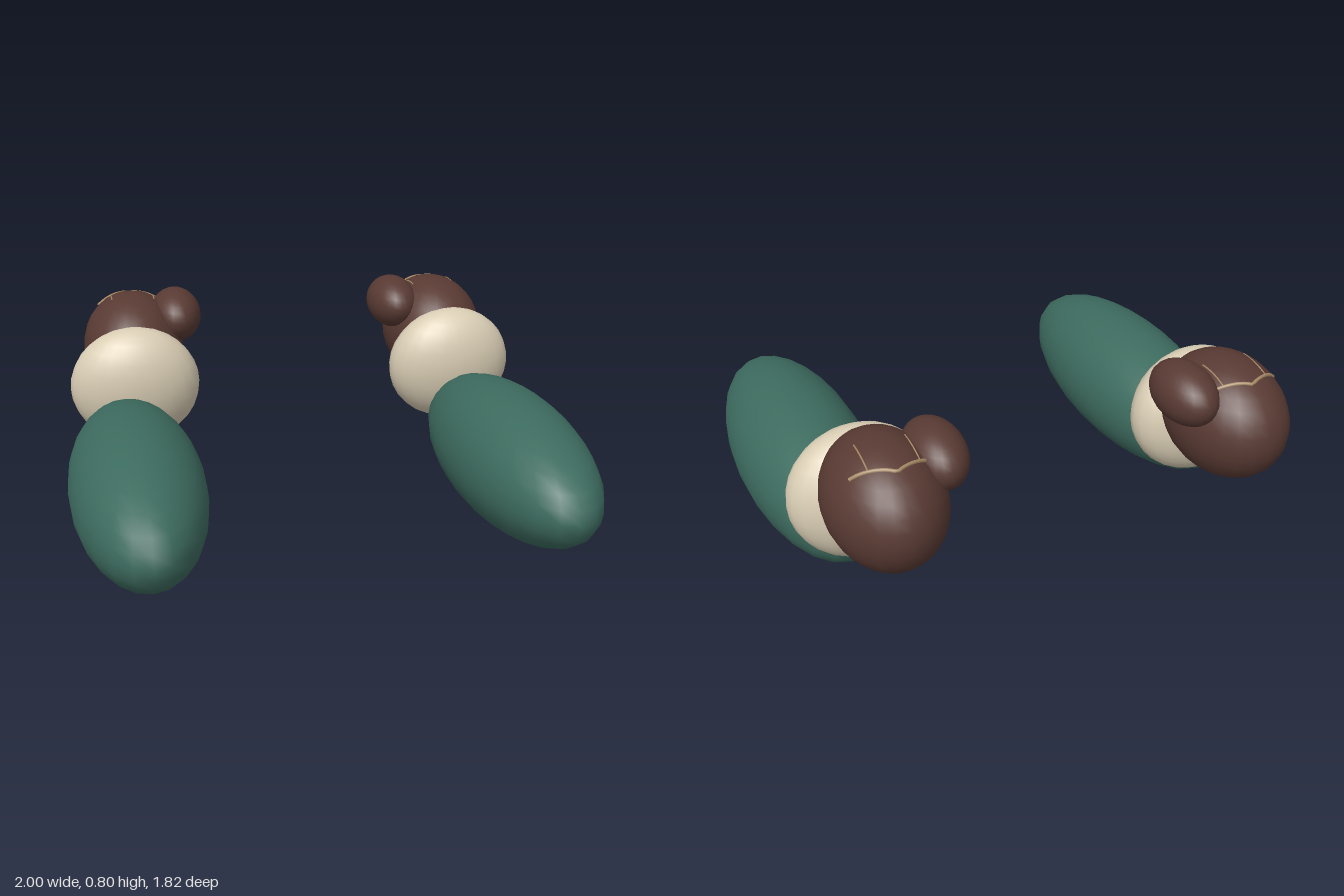
import * as THREE from 'three';

const material = (name, color) => {
  const m = new THREE.MeshStandardMaterial({ color });
  m.name = name;
  return m;
};

export function createModel() {
  const green = material('sleeve green', 0x3d6b5f);
  const cream = material('cuff cream', 0xd9cdb4);
  const brown = material('glove brown', 0x593a33);
  const tan = material('stitch tan', 0xa88b66);

  const ball = new THREE.SphereGeometry(1, 24, 16);
  const ellipsoid = (name, mat, pos, radii, tilt = 0) => {
    const mesh = new THREE.Mesh(ball, mat);
    mesh.name = name;
    mesh.position.set(...pos);
    mesh.scale.set(...radii);
    mesh.rotation.x = tilt;
    return mesh;
  };

  // Glove ellipsoid, also used to lay the stitching on its surface
  const gloveC = [0.673, 0.56, -0.62];
  const gloveR = [0.212, 0.233, 0.29];
  const onGlove = (x, z) => {
    const u = (x - gloveC[0]) / gloveR[0], w = (z - gloveC[2]) / gloveR[2];
    return gloveC[1] + gloveR[1] * Math.sqrt(1 - u * u - w * w);
  };

  // Stitch line through [x, z] points, resampled so it follows the curved surface
  const stitch = (side, points, radius) => {
    const path = [];
    for (let i = 0; i < points.length - 1; i++) {
      for (let k = 0; k < 4; k++) {
        const t = k / 4;
        path.push(points[i].map((v, j) => v + (points[i + 1][j] - v) * t));
      }
    }
    path.push(points[points.length - 1]);
    const curve = new THREE.CatmullRomCurve3(
      path.map(([x, z]) => new THREE.Vector3(side * x, onGlove(x, z) - 0.001, z)));
    const mesh = new THREE.Mesh(new THREE.TubeGeometry(curve, 24, radius, 6), tan);
    mesh.name = 'gloveStitch';
    return mesh;
  };

  const model = new THREE.Group();
  model.name = 'armPair';
  for (const side of [1, -1]) {
    const arm = new THREE.Group();
    arm.name = side > 0 ? 'leftArm' : 'rightArm';
    arm.add(
      ellipsoid('sleeve', green, [side * 0.743, 0.26, 0.22], [0.257, 0.257, 0.69]),
      ellipsoid('cuff', cream, [side * 0.688, 0.455, -0.4], [0.268, 0.253, 0.157], 0.12),
      ellipsoid('glove', brown, gloveC.map((v, i) => (i ? v : side * v)), gloveR),
      ellipsoid('thumb', brown, [side * 0.487, 0.69, -0.62], [0.108, 0.112, 0.17]),
      // Back-of-hand seams: a chevron and two fine strands
      stitch(side, [[0.525, -0.704], [0.59, -0.735], [0.67, -0.77], [0.745, -0.735], [0.81, -0.704]], 0.007),
      stitch(side, [[0.578, -0.73], [0.578, -0.59]], 0.003),
      stitch(side, [[0.755, -0.73], [0.755, -0.59]], 0.003),
    );
    model.add(arm);
  }
  return model;
}
